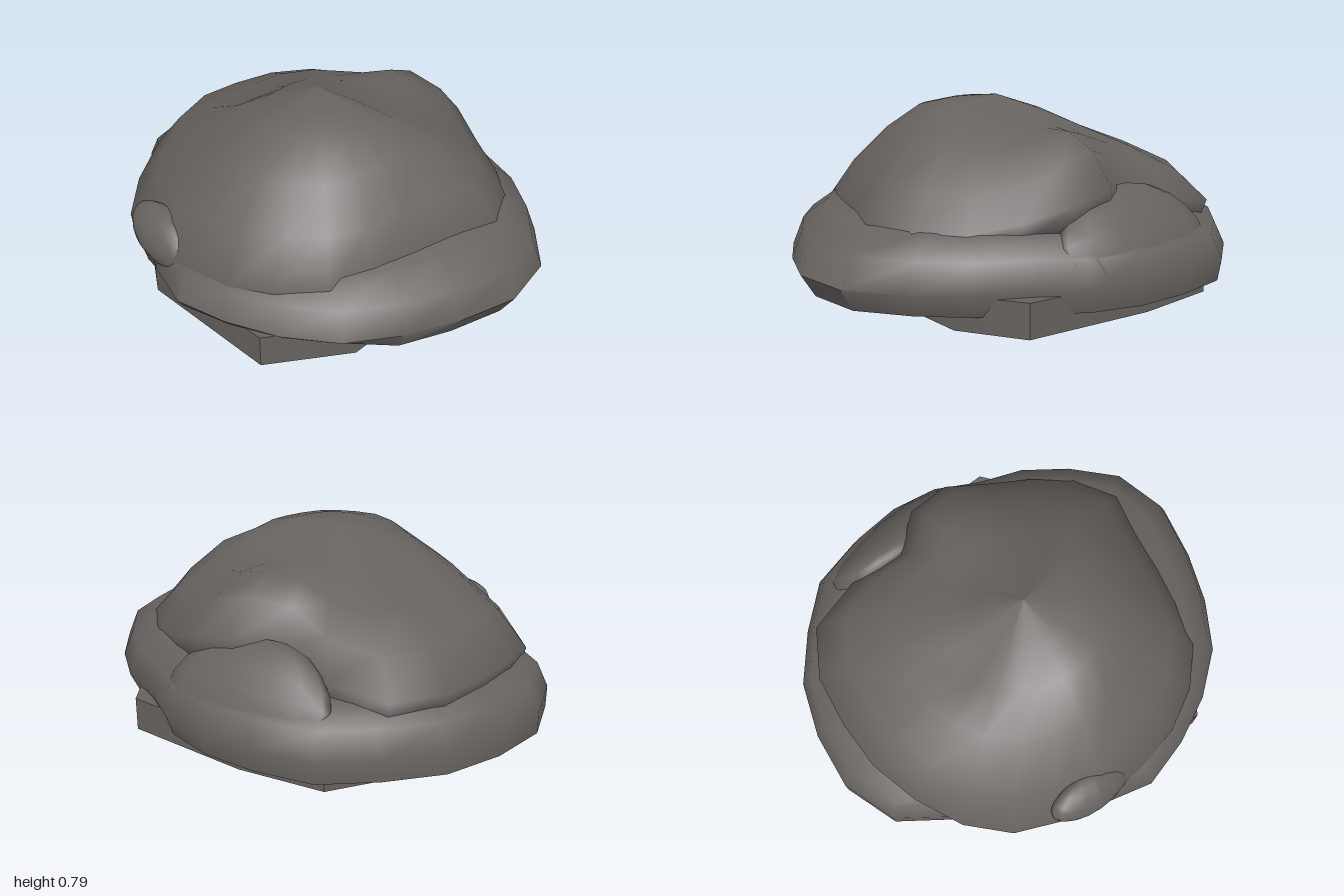
import * as THREE from 'three';
import { toCreasedNormals } from 'three/addons/utils/BufferGeometryUtils.js';

const N = 24; // points around each ring, counted from +z towards +x
const { lerp, smoothstep } = THREE.MathUtils;

// Skin stacked rings, listed from bottom to top; every ring holds N points.
function loft(rings, crease) {
  const index = [];
  for (let i = 0; i < rings.length - 1; i++) {
    for (let j = 0; j < N; j++) {
      const k = (j + 1) % N;
      const a = i * N + j, b = i * N + k, c = a + N, d = b + N;
      index.push(a, b, d, a, d, c);
    }
  }
  const g = new THREE.BufferGeometry();
  g.setAttribute('position', new THREE.Float32BufferAttribute(rings.flat(2), 3));
  g.setIndex(index);
  g.computeVertexNormals();
  return crease ? toCreasedNormals(g, crease) : g;
}

// One ring: radius and height are functions of the point number.
function ring(radius, height, cx = 0) {
  return Array.from({ length: N }, (_, j) => {
    const a = (j / N) * Math.PI * 2;
    return [cx + Math.sin(a) * radius(j), height(j), Math.cos(a) * radius(j)];
  });
}

// Rounded boulder with an uneven surface, narrower in z towards its top
function boulder(sx, sy, sz, seed) {
  const g = new THREE.SphereGeometry(1, 16, 10);
  const p = g.attributes.position;
  for (let i = 0; i < p.count; i++) {
    const x = p.getX(i), y = p.getY(i), z = p.getZ(i);
    const s = 1 + 0.07 * Math.sin(3 * z + seed) * Math.cos(2 * y + seed) + 0.04 * Math.sin(4 * x);
    p.setXYZ(i, x * s * sx, y * s * sy, z * s * sz * (1 - 0.2 * y));
  }
  g.computeVertexNormals();
  return g;
}

export function createModel() {
  const model = new THREE.Group();
  const stone = new THREE.MeshStandardMaterial({ color: 0x66625f });
  stone.name = 'dark grey stone';

  const add = (name, geometry) => {
    const mesh = new THREE.Mesh(geometry, stone);
    mesh.name = name;
    model.add(mesh);
    return mesh;
  };

  // Flat angular footing, given as x and z of its corners
  const corners = [
    [0.75, 0.46], [0.79, -0.1], [0.75, -0.47], [0.42, -0.72], [-0.25, -0.72], [-0.5, -0.68],
    [-0.79, -0.27], [-0.82, 0.38], [-0.52, 0.61], [0.1, 0.63], [0.5, 0.62],
  ];
  const outline = new THREE.Shape(corners.map(([x, z]) => new THREE.Vector2(x, -z)));
  const footing = new THREE.ExtrudeGeometry(outline, { depth: 0.14, bevelEnabled: false });
  add('footing', toCreasedNormals(footing.rotateX(-Math.PI / 2), 0.8));

  // Wide lower slab, thinner towards the back and lifted at the front left
  const slabR = [
    0.99, 0.99, 0.92, 0.87, 0.82, 0.86, 0.885, 0.91, 0.96, 0.955, 0.98, 0.985,
    1.0, 0.97, 0.85, 0.8, 0.8, 0.85, 0.90, 0.89, 0.90, 0.92, 0.92, 0.94,
  ];
  const back = (j) => 0.5 - 0.5 * Math.cos((j / N) * Math.PI * 2);
  const slabBottom = (j) => (j >= 17 && j <= 21 ? 0.12 : 0.065);
  const slab = (f, height) => ring((j) => slabR[j] * f, height);
  add('lowerSlab', loft([
    slab(0, () => 0.065),
    slab(0.6, () => 0.065),
    ring((j) => slabR[j] * (0.94 + 0.06 * back(j)), slabBottom),
    slab(1, () => 0.16),
    slab(0.95, (j) => 0.275 - 0.015 * back(j)),
    slab(0.83, (j) => 0.36 - 0.06 * back(j)),
    slab(0, () => 0.4),
  ], 0.9));

  // Upper mound: outline radii, then heights from skirt to crown in eight directions
  const moundR = [
    0.72, 0.82, 0.81, 0.78, 0.755, 0.775, 0.74, 0.65, 0.80, 0.92, 0.91, 0.87,
    0.86, 0.85, 0.85, 0.84, 0.81, 0.79, 0.77, 0.77, 0.77, 0.76, 0.72, 0.70,
  ];
  const reach = [0.96, 1, 0.85, 0.65, 0.45, 0.25];
  const heights = [
    [0.28, 0.35, 0.50, 0.655, 0.735, 0.77], // front
    [0.28, 0.35, 0.48, 0.61, 0.68, 0.72],
    [0.34, 0.48, 0.62, 0.68, 0.675, 0.70], // +x side
    [0.23, 0.34, 0.47, 0.57, 0.65, 0.72],
    [0.23, 0.34, 0.48, 0.55, 0.61, 0.72], // back
    [0.05, 0.17, 0.37, 0.55, 0.67, 0.74],
    [0.12, 0.28, 0.45, 0.62, 0.73, 0.765], // -x side
    [0.25, 0.32, 0.48, 0.63, 0.735, 0.77],
  ];
  const moundY = (level) => (j) => {
    const t = (j / N) * 8, i = Math.floor(t);
    return lerp(heights[i][level], heights[(i + 1) % 8][level], smoothstep(t - i, 0, 1));
  };
  // Inner rings grow rounder so notches in the outline fade towards the crown
  const moundRadius = (f) => (j) => f * lerp(0.76, moundR[j], smoothstep(f, 0, 0.9));
  add('upperMound', loft([
    ring(() => 0, () => 0.2, -0.06),
    ...reach.map((f, level) => ring(moundRadius(f), moundY(level), -0.06)),
    ring(() => 0, () => 0.785, -0.06),
  ]));

  // Boulders bedded into the two sides
  const big = add('sideBoulder', boulder(0.11, 0.22, 0.38, 0.6));
  big.position.set(0.69, 0.285, -0.1);
  big.rotation.z = 0.62;
  const small = add('smallSideBoulder', boulder(0.07, 0.11, 0.2, 2.1));
  small.position.set(-0.755, 0.29, -0.24);
  small.rotation.set(0.2, -0.15, -0.45);

  return model;
}
